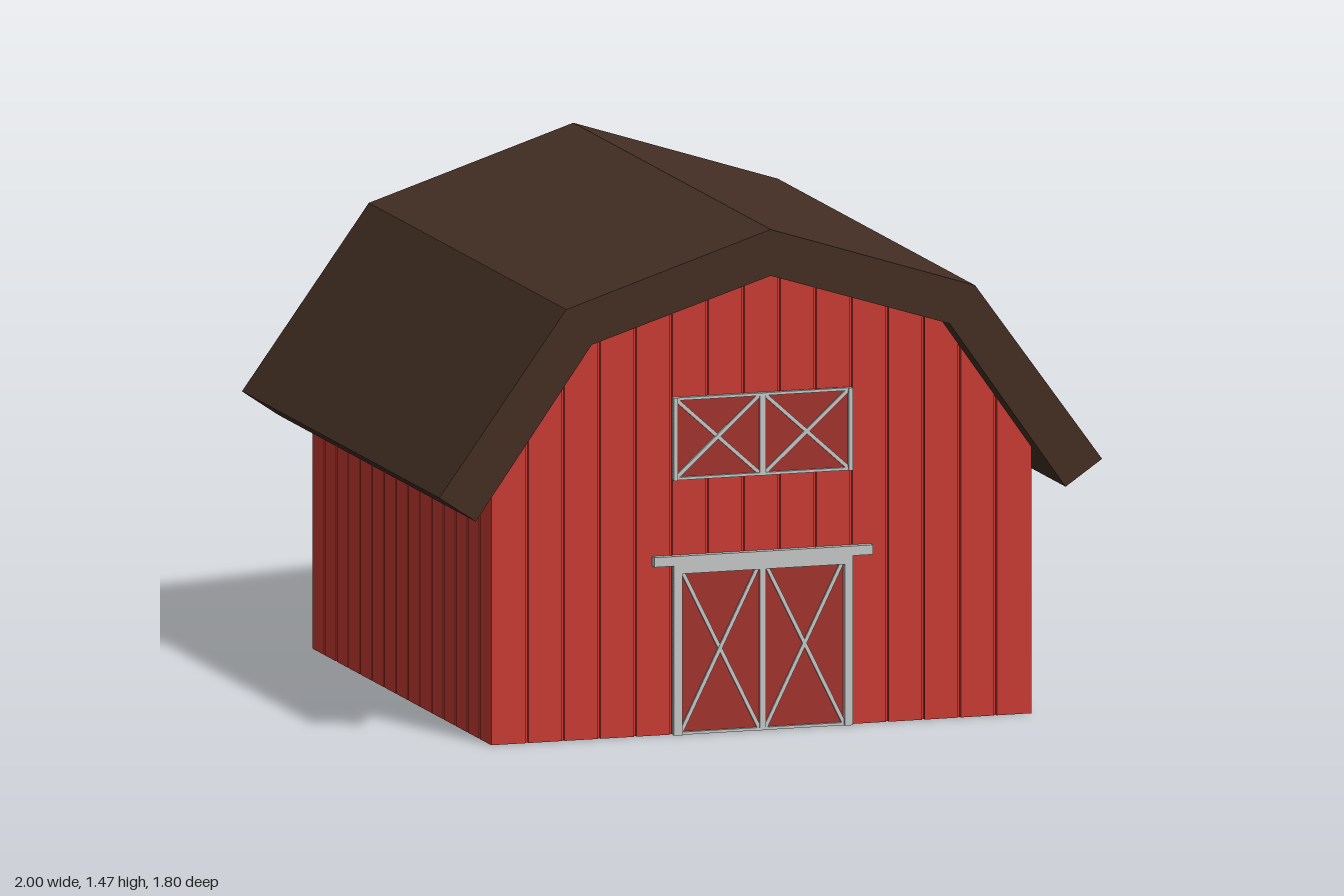
import * as THREE from 'three';

const mat = (name, color) => {
  const m = new THREE.MeshStandardMaterial({ color });
  m.name = name;
  return m;
};

export function createModel() {
  const barn = new THREE.Group();
  barn.name = 'barn';
  const red = mat('barnRed', 0xc73a33);
  const doorRed = mat('doorRed', 0xa0322c);
  const brown = mat('roofBrown', 0x432e23);
  const grey = mat('trimGrey', 0xc2c6c5);

  const add = (name, geo, material, x = 0, y = 0, z = 0, parent = barn) => {
    const mesh = new THREE.Mesh(geo, material);
    mesh.name = name;
    mesh.position.set(x, y, z);
    parent.add(mesh);
    return mesh;
  };
  const box = (name, w, h, d, material, x, y, z, parent) =>
    add(name, new THREE.BoxGeometry(w, h, d), material, x, y, z, parent);
  const extrude = (points, depth) => new THREE.ExtrudeGeometry(
    new THREE.Shape(points.map(([x, y]) => new THREE.Vector2(x, y))),
    { depth, bevelEnabled: false });

  // Underside of the gambrel roof
  const roofY = (x) => {
    const a = Math.abs(x);
    return a < 0.54 ? 1.335 - a * 0.17 / 0.54 : 1.165 - (a - 0.54) * 0.495 / 0.35;
  };
  const gable = (x0, x1) => {
    const tops = [x1, ...[0.54, 0, -0.54].filter((x) => x > x0 && x < x1), x0];
    return [[x0, 0], [x1, 0], ...tops.map((x) => [x, roofY(x)])];
  };

  // Solid body, set in behind the planks
  const W = 0.815, T = 0.01, G = 0.004, N = 15;
  const inner = W - T;
  add('body', extrude(gable(-inner, inner), 2 * inner), red, 0, 0, -inner);

  // Vertical planks with narrow gaps on all four walls
  const step = 2 * W / N;
  for (let i = 0; i < N; i++) {
    const a = -W + i * step + (i ? G : 0);
    const b = -W + (i + 1) * step - (i < N - 1 ? G : 0);
    add('frontPlank', extrude(gable(a, b), T), red, 0, 0, inner);
    add('backPlank', extrude(gable(a, b), T), red, 0, 0, -W);
    for (const s of [-1, 1]) {
      box('sidePlank', T, 0.775, b - a, red, s * (W - T / 2), 0.3875, (a + b) / 2);
    }
  }

  // Thick gambrel roof
  add('roof', extrude([
    [-0.89, 0.67], [-0.54, 1.165], [0, 1.335], [0.54, 1.165], [0.89, 0.67],
    [1, 0.745], [0.617, 1.272], [0, 1.47], [-0.617, 1.272], [-1, 0.745],
  ], 1.8), brown, 0, 0, -0.9);

  // Flat bar between two points on the front wall
  const bar = (name, x0, y0, x1, y1, width, depth, parent) => {
    const len = Math.hypot(x1 - x0, y1 - y0);
    const m = box(name, len, width, depth, grey,
      (x0 + x1) / 2, (y0 + y1) / 2, W + depth / 2, parent);
    m.rotation.z = Math.atan2(y1 - y0, x1 - x0);
  };

  // Pair of leaves, each with a thin border and crossed braces
  const leaves = (name, half, y0, y1, frame) => {
    const group = new THREE.Group();
    group.name = name;
    barn.add(group);
    box('panel', 2 * half, y1 - y0, 0.004, doorRed, 0, (y0 + y1) / 2, W + 0.002, group);
    for (const s of [-1, 1]) {
      const xa = s * 0.01, xb = s * (half - frame);
      bar('brace', xa, y0 + 0.008, xb, y1 - 0.008, 0.011, 0.010, group);
      bar('brace', xa, y1 - 0.008, xb, y0 + 0.008, 0.011, 0.011, group);
      const xc = s * (half - frame / 2);
      bar('sidePost', xc, y0, xc, y1, frame, 0.02, group);
    }
    bar('centrePost', 0, y0, 0, y1, 0.018, 0.016, group);
    for (const y of [y0 + 0.004, y1 - 0.004]) {
      bar('rail', -half, y, half, y, 0.008, 0.014, group);
    }
    return group;
  };

  // Main doors with lintel and sliding rail
  const doors = leaves('mainDoors', 0.27, 0, 0.49, 0.025);
  bar('lintel', -0.27, 0.482, 0.27, 0.482, 0.024, 0.02, doors);
  bar('slidingRail', -0.33, 0.508, 0.33, 0.508, 0.028, 0.022, doors);

  // Hayloft doors
  leaves('loftDoors', 0.27, 0.742, 0.982, 0.012);

  return barn;
}
